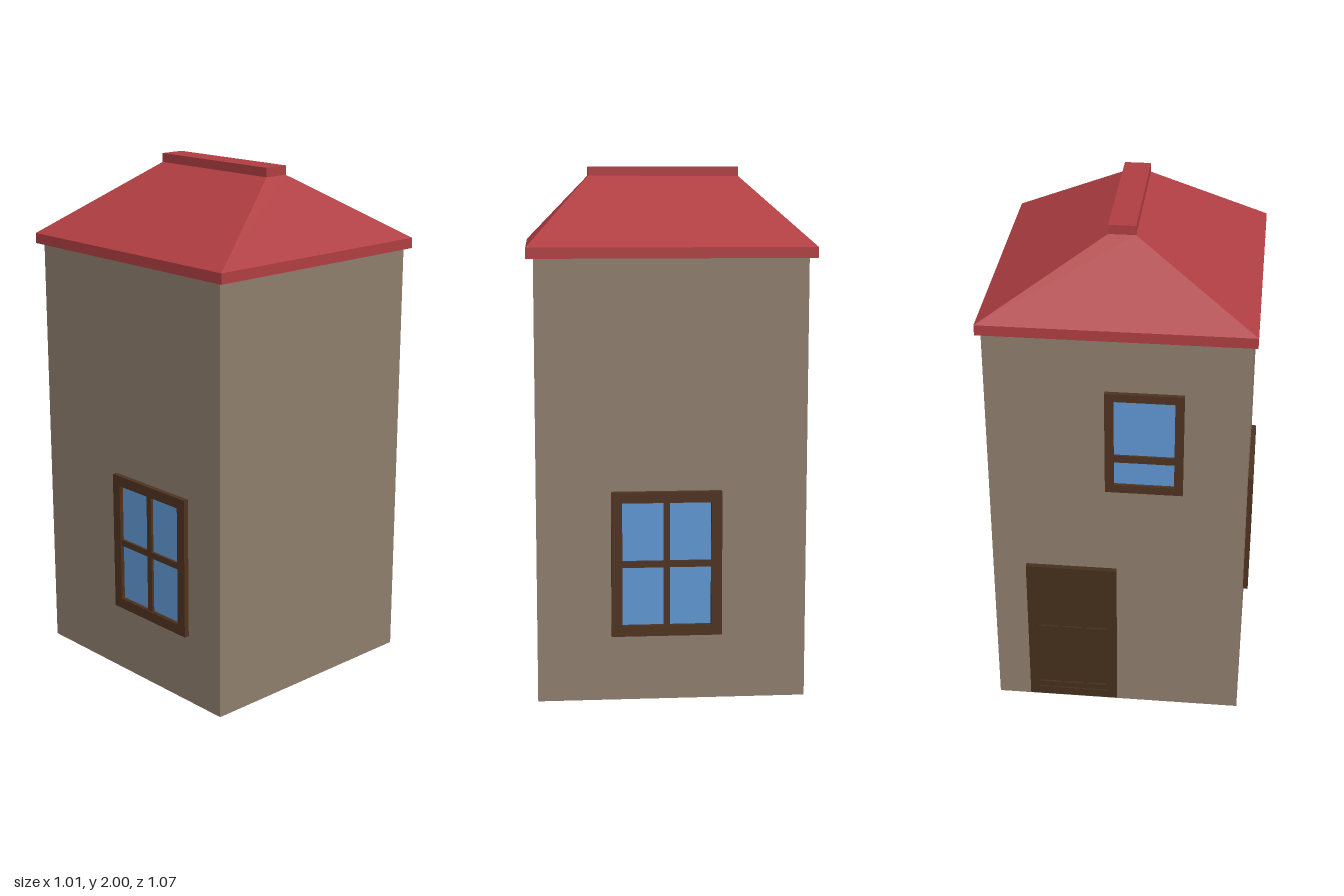
import * as THREE from 'three';

const mat = (color) => new THREE.MeshStandardMaterial({ color, flatShading: true });
const WALL = mat(0x8f7e6d), ROOF = mat(0xb03e42), WOOD = mat(0x4f3320), DOOR = mat(0x46301c), GLASS = mat(0x6098d4);

// Box given by its min and max corners
function box(name, material, [x0, y0, z0], [x1, y1, z1]) {
  const m = new THREE.Mesh(new THREE.BoxGeometry(x1 - x0, y1 - y0, z1 - z0), material);
  m.position.set((x0 + x1) / 2, (y0 + y1) / 2, (z0 + z1) / 2);
  m.name = name;
  return m;
}

function rectangle(target, x0, y0, x1, y1) {
  target.moveTo(x0, y0).lineTo(x1, y0).lineTo(x1, y1).lineTo(x0, y1).closePath();
  return target;
}

// Flat frame, w by h, with one opening for every column and row span
function frame(name, material, w, h, depth, columns, rows) {
  const shape = rectangle(new THREE.Shape(), -w / 2, 0, w / 2, h);
  for (const [x0, x1] of columns)
    for (const [y0, y1] of rows) shape.holes.push(rectangle(new THREE.Path(), x0, y0, x1, y1));
  const m = new THREE.Mesh(new THREE.ExtrudeGeometry(shape, { depth, bevelEnabled: false }), material);
  m.name = name;
  return m;
}

// Frame with glazing bars in front of a recessed pane
function windowUnit(name, w, h, depth, border, columns, rows) {
  const g = new THREE.Group();
  g.name = name;
  g.add(frame('windowFrame', WOOD, w, h, depth, [[-w / 2 + border, w / 2 - border]], [[border, h - border]]));
  g.add(frame('glazingBars', WOOD, w - 2 * border, h, depth * 0.8, columns, rows));
  // keep the bars inside the outer frame
  g.children[1].scale.y = (h - 0.002) / h;
  g.children[1].position.y = 0.001;
  g.add(box('glass', GLASS, [-w / 2 + 0.01, 0.01, 0], [w / 2 - 0.01, h - 0.01, depth * 0.4]));
  return g;
}

// Plank door: outer frame, panel rails and recessed back board
function doorUnit(w, h, depth) {
  const g = new THREE.Group();
  g.name = 'door';
  const b = 0.035, gap = 0.012, inner = w - 2 * b;
  const step = inner / 3, columns = [0, 1, 2].map((i) => {
    const x = -inner / 2 + i * step;
    return [x + gap / 2, x + step - gap / 2];
  });
  g.add(frame('doorFrame', DOOR, w, h, depth, [[-inner / 2, inner / 2]], [[b, h - b]]));
  g.add(frame('doorRails', DOOR, inner, h - 0.002, depth * 0.8, columns, [[0.06, 0.31], [0.345, h - 0.06]]));
  g.add(box('doorBoard', DOOR, [-inner / 2, 0.01, 0], [inner / 2, h - 0.01, depth * 0.5]));
  return g;
}

export function createModel() {
  const house = new THREE.Group();
  house.name = 'house';
  const put = (part, x, y, z, turn) => {
    part.position.set(x, y, z);
    part.rotation.y = turn;
    house.add(part);
  };

  // Walls
  house.add(box('walls', WALL, [-0.485, 0, -0.505], [0.48, 1.67, 0.508]));

  // Roof: eaves slab, hipped slopes and ridge cap
  house.add(box('eaves', ROOF, [-0.503, 1.665, -0.535], [0.497, 1.705, 0.535]));
  const slopes = box('roofSlopes', ROOF, [-0.503, 1.705, -0.535], [0.497, 1.965, 0.535]);
  const p = slopes.geometry.attributes.position;
  for (let i = 0; i < p.count; i++) {
    if (p.getY(i) > 0) p.setXYZ(i, Math.sign(p.getX(i)) * 0.05, p.getY(i), Math.sign(p.getZ(i)) * 0.293);
  }
  slopes.geometry.computeVertexNormals();
  house.add(slopes);
  house.add(box('ridgeCap', ROOF, [-0.053, 1.965, -0.293], [0.047, 2, 0.293]));

  // Side windows with four panes
  const fourPanes = () => windowUnit('sideWindow', 0.415, 0.55, 0.025, 0.04,
    [[-0.1665, -0.0125], [0.0125, 0.1665]], [[0.041, 0.263], [0.288, 0.509]]);
  put(fourPanes(), 0.48, 0.252, 0.0225, Math.PI / 2);
  put(fourPanes(), -0.48, 0.273, 0.125, -Math.PI / 2);

  // Upper back window with two panes
  put(windowUnit('backWindow', 0.29, 0.423, 0.02, 0.032, [[-0.112, 0.112]], [[0.033, 0.13], [0.16, 0.39]]),
    -0.105, 1.022, -0.502, Math.PI);

  // Back door
  put(doorUnit(0.35, 0.637, 0.024), 0.175, 0.02, -0.502, Math.PI);

  return house;
}
